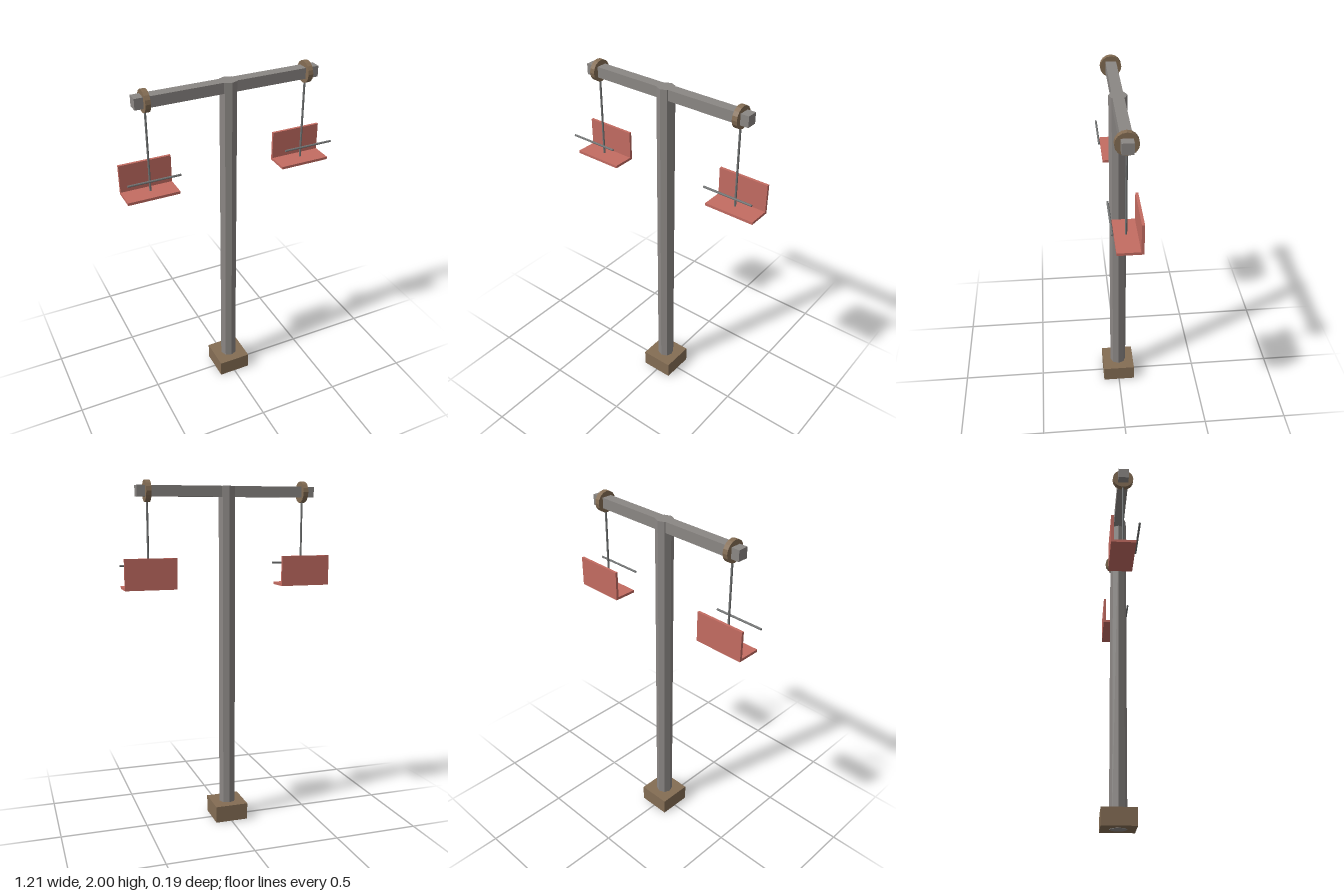
import * as THREE from 'three';

const material = (name, color) => {
  const m = new THREE.MeshStandardMaterial({ color, flatShading: true });
  m.name = name;
  return m;
};

export function createModel() {
  const grey = material('grey steel', 0x8b8784);
  const darkGrey = material('dark steel', 0x727474);
  const brown = material('brown', 0x846d54);
  const red = material('seat red', 0xc46c62);

  const model = new THREE.Group();
  model.name = 'chairliftTower';

  const add = (parent, name, geometry, mat, x, y, z) => {
    const mesh = new THREE.Mesh(geometry, mat);
    mesh.name = name;
    mesh.position.set(x, y, z);
    parent.add(mesh);
    return mesh;
  };
  // Rod or wheel lying along x
  const alongX = (r, length, sides) =>
    new THREE.CylinderGeometry(r, r, length, sides).rotateZ(Math.PI / 2);

  // Tower: footing, octagonal pole and crossarm
  add(model, 'footing', new THREE.BoxGeometry(0.195, 0.098, 0.195), brown, 0, 0.051, 0);
  add(model, 'pole', new THREE.CylinderGeometry(0.049, 0.049, 1.97, 8), grey, 0, 0.985, 0);
  add(model, 'crossarm', new THREE.BoxGeometry(1.04, 0.06, 0.06), grey, 0, 1.94, 0);

  // A wheel and a hanging chair on each end
  for (const side of [1, -1]) {
    const chair = new THREE.Group();
    chair.name = side > 0 ? 'leftChair' : 'rightChair';
    chair.position.x = side * 0.458;
    model.add(chair);

    add(chair, 'wheel', alongX(0.06, 0.029, 16), brown, 0, 1.94, 0);
    add(chair, 'hangerRod', new THREE.CylinderGeometry(0.006, 0.006, 0.49, 8), darkGrey, 0, 1.675, 0);
    add(chair, 'seat', new THREE.BoxGeometry(0.293, 0.015, 0.122), red, 0, 1.413, 0);
    add(chair, 'backrest', new THREE.BoxGeometry(0.293, 0.173, 0.015), red, 0, 1.492, -0.068);
    add(chair, 'safetyBar', alongX(0.006, 0.293, 8), darkGrey, 0, 1.531, 0.081);
  }
  return model;
}
